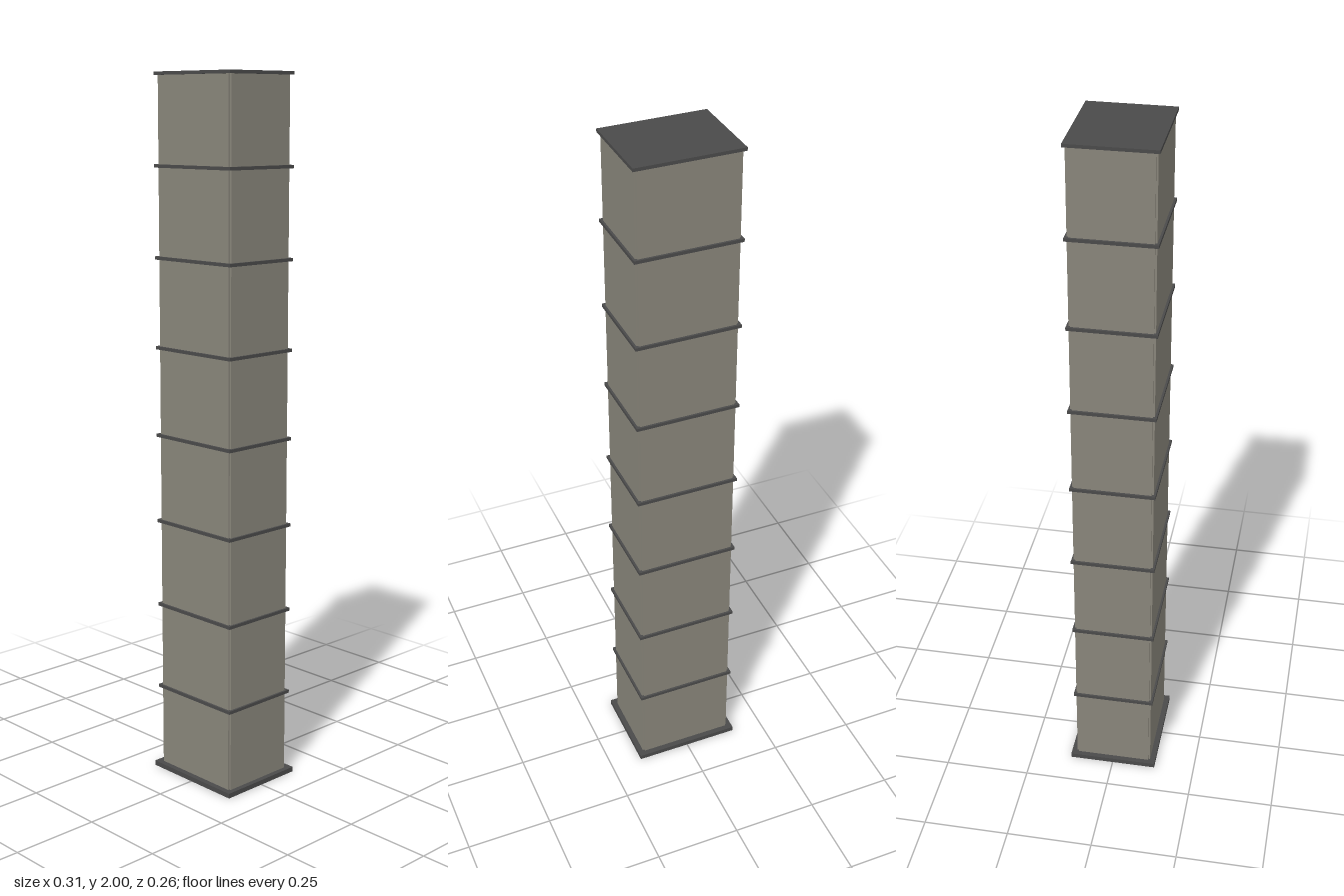
import * as THREE from 'three';

export function createModel() {
  const model = new THREE.Group();
  model.name = 'tower';

  const facade = new THREE.MeshStandardMaterial({ name: 'warm grey facade', color: 0x88857a });
  const trim = new THREE.MeshStandardMaterial({ name: 'dark grey trim', color: 0x4a4a4a });

  const floors = 8;
  const baseHeight = 0.014;
  const slabHeight = 0.009;
  const height = 2;
  const bodyHeight = height - slabHeight - baseHeight;
  const bodyY = baseHeight + bodyHeight / 2;

  function box(name, material, w, h, d, x, y, z) {
    const mesh = new THREE.Mesh(new THREE.BoxGeometry(w, h, d), material);
    mesh.name = name;
    mesh.position.set(x, y, z);
    model.add(mesh);
  }

  // Wide foot plate
  box('basePlate', trim, 0.314, baseHeight, 0.26, 0, baseHeight / 2, 0);

  // Core whose corners show as narrow notches between the wall panels
  box('core', facade, 0.274, bodyHeight, 0.218, 0, bodyY, 0);

  // Thin wall panels on the four sides
  for (const side of [-1, 1]) {
    box(side > 0 ? 'frontWall' : 'backWall', facade, 0.274, bodyHeight, 0.005, 0, bodyY, side * 0.1115);
    box(side > 0 ? 'leftWall' : 'rightWall', facade, 0.005, bodyHeight, 0.218, side * 0.1395, bodyY, 0);
  }

  // Projecting floor bands, the last one being the flat roof
  for (let i = 1; i <= floors; i++) {
    const y = i === floors ? height - slabHeight / 2 : (i * height) / floors;
    box(i === floors ? 'roofSlab' : `floorBand${i}`, trim, 0.296, slabHeight, 0.24, 0, y, 0);
  }

  return model;
}
